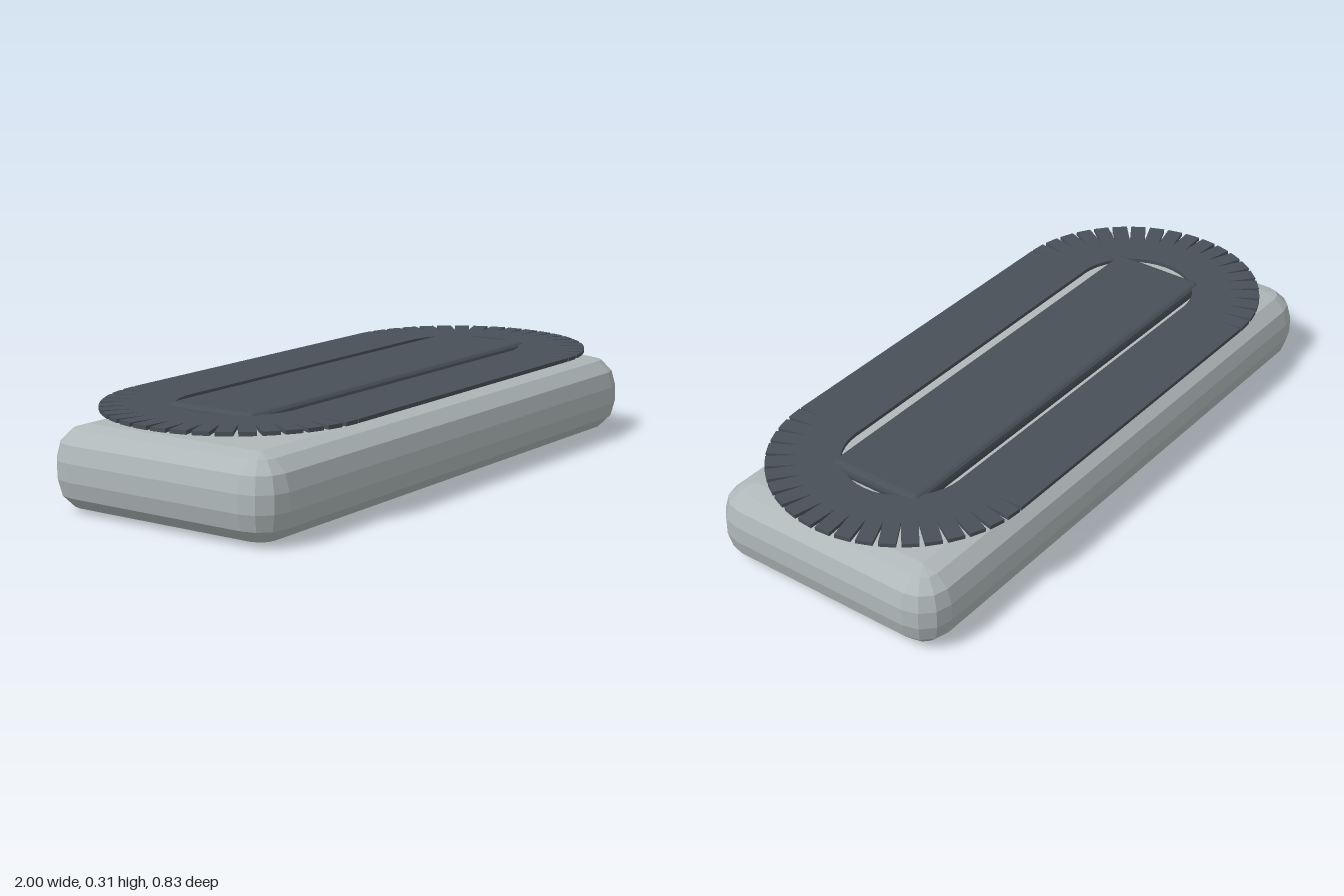
import * as THREE from 'three';

// Box with rounded edges, three facets per quarter turn, flat shaded
function facetedSlab(hx, hy, hz, r) {
  const geo = new THREE.SphereGeometry(1, 16, 9);
  const pos = geo.attributes.position;
  for (let row = 0; row <= 9; row++) {
    for (let i = 0; i <= 16; i++) {
      const n = row * 17 + i;
      if (row === 0 || row === 9) { // centre of the flat cap
        pos.setXYZ(n, 0, row === 0 ? hy : -hy, 0);
        continue;
      }
      const upper = row <= 4;
      const elev = (upper ? 4 - row : 5 - row) * Math.PI / 6;
      const q = Math.floor(i / 4) % 4;
      const phi = (q + (i % 4) / 3) * Math.PI / 2;
      const mid = (q + 0.5) * Math.PI / 2;
      const flat = r * Math.cos(elev);
      pos.setXYZ(n,
        -Math.sign(Math.cos(mid)) * (hx - r) - Math.cos(phi) * flat,
        (upper ? 1 : -1) * (hy - r) + Math.sin(elev) * r,
        Math.sign(Math.sin(mid)) * (hz - r) + Math.sin(phi) * flat);
    }
  }
  const out = geo.toNonIndexed();
  out.computeVertexNormals();
  return out;
}

export function createModel() {
  const model = new THREE.Group();
  const shellGrey = new THREE.MeshStandardMaterial({ color: 0xb0b8ba });
  shellGrey.name = 'shellGrey';
  const darkSlate = new THREE.MeshStandardMaterial({ color: 0x485058 });
  darkSlate.name = 'darkSlate';

  // Main body
  const body = new THREE.Mesh(facetedSlab(1, 0.1275, 0.41, 0.1), shellGrey);
  body.name = 'body';
  body.position.y = 0.1275;
  model.add(body);

  // Raised centre bar
  const bar = new THREE.Mesh(facetedSlab(0.745, 0.0235, 0.162, 0.02), darkSlate);
  bar.name = 'centreBar';
  bar.position.y = 0.2865;
  model.add(bar);

  // Oval ring of thin plates
  const ring = new THREE.Group();
  ring.name = 'plateRing';
  ring.position.y = 0.297;
  model.add(ring);
  const half = 0.585, inner = 0.195, outer = 0.415;
  const plate = new THREE.BoxGeometry(0.05, 0.012, outer - inner);
  const midR = (inner + outer) / 2;
  const addPlate = (cx, angle) => { // angle is measured from +z towards +x
    const mesh = new THREE.Mesh(plate, darkSlate);
    mesh.name = 'plate';
    mesh.position.set(cx + Math.sin(angle) * midR, 0, Math.cos(angle) * midR);
    mesh.rotation.y = angle;
    ring.add(mesh);
  };
  const straight = 24, curve = 20;
  for (let i = 0; i < straight; i++) {
    const x = -half + (i + 0.5) * 2 * half / straight;
    addPlate(x, 0);
    addPlate(x, Math.PI);
  }
  for (let i = 0; i < curve; i++) {
    const a = (i + 0.5) * Math.PI / curve;
    addPlate(half, a);
    addPlate(-half, a + Math.PI);
  }
  return model;
}
